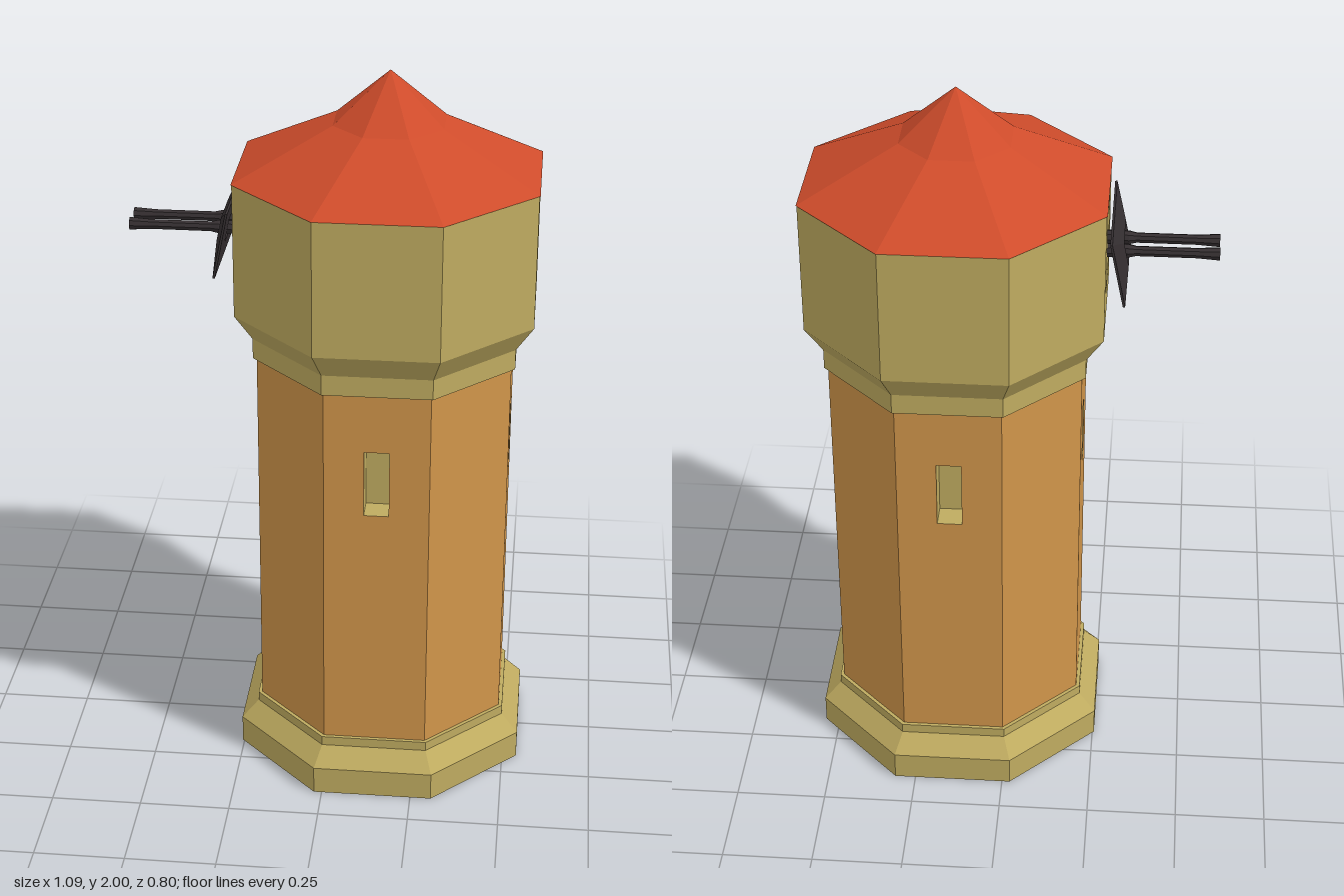
import * as THREE from 'three';

const mat = (color) => new THREE.MeshStandardMaterial({ color, flatShading: true, side: THREE.DoubleSide });
const stone = mat(0xbfab60);
const brick = mat(0xd0954a);
const tile = mat(0xcf4c2b);
const metal = mat(0x352f31);

const SIDES = 8;
const TAN = Math.tan(Math.PI / SIDES);
const COS = Math.cos(Math.PI / SIDES);

function add(parent, name, geometry, material) {
  const mesh = new THREE.Mesh(geometry, material);
  mesh.name = name;
  parent.add(mesh);
  return mesh;
}

// Octagonal ring stack; profile holds [distance to flat side, height], bottom to top
function octagon(profile) {
  const pts = profile.map(([a, y]) => new THREE.Vector2(a / COS, y));
  return new THREE.LatheGeometry(pts, SIDES, Math.PI / SIDES);
}

function rectangle(target, w, y0, y1) {
  target.moveTo(-w / 2, y0);
  target.lineTo(w / 2, y0);
  target.lineTo(w / 2, y1);
  target.lineTo(-w / 2, y1);
  target.closePath();
  return target;
}

// Eight upright wall panels; sides listed in openSides get a recessed opening
function walls(parent, name, apothem, y0, y1, material, openSides, opening) {
  for (let i = 0; i < SIDES; i++) {
    const side = new THREE.Group();
    side.name = name + 'Side';
    side.rotation.y = (i * Math.PI * 2) / SIDES;
    parent.add(side);
    const shape = rectangle(new THREE.Shape(), 2 * apothem * TAN, y0, y1);
    const open = openSides.includes(i);
    if (open) shape.holes.push(rectangle(new THREE.Path(), opening.w, opening.y0, opening.y1));
    add(side, name + 'Panel', new THREE.ShapeGeometry(shape), material).position.z = apothem;
    if (open) {
      // Box without its outer face
      const box = new THREE.BoxGeometry(opening.w, opening.y1 - opening.y0, opening.d);
      const index = Array.from(box.index.array);
      index.splice(24, 6);
      box.setIndex(index);
      box.clearGroups();
      add(side, opening.name, box, stone)
        .position.set(0, (opening.y0 + opening.y1) / 2, apothem - opening.d / 2);
    }
  }
}

// Shield plate, its opening pushed forward so the faces slope to the rim
function shieldGeometry() {
  const shape = new THREE.Shape();
  rectangle(shape, 0.355, -0.092, 0.094);
  shape.holes.push(rectangle(new THREE.Path(), 0.13, -0.034, 0.034));
  const geometry = new THREE.ExtrudeGeometry(shape, { depth: 0.006, bevelEnabled: false });
  const p = geometry.attributes.position;
  for (let i = 0; i < p.count; i++) {
    if (Math.abs(p.getX(i)) < 0.1 && p.getZ(i) > 0.003) p.setZ(i, 0.022);
  }
  geometry.computeVertexNormals();
  return geometry;
}

function createGun() {
  const gun = new THREE.Group();
  gun.name = 'twinGun';
  const shield = add(gun, 'gunShield', shieldGeometry(), metal);
  shield.position.z = 0.284;
  shield.rotation.x = -0.2;

  // Barrels with a thick breech end and a flared muzzle
  const profile = [[0, 0.16], [0.019, 0.16], [0.019, 0.31], [0.014, 0.33],
    [0.014, 0.49], [0.018, 0.55], [0.01, 0.55], [0.008, 0.52], [0, 0.52]]
    .map(([r, y]) => new THREE.Vector2(r, y));
  for (const s of [-1, 1]) {
    const barrel = add(gun, 'gunBarrel', new THREE.LatheGeometry(profile, 8), metal);
    barrel.rotation.x = Math.PI / 2;
    barrel.position.x = s * 0.036;
  }
  gun.position.set(0, 1.56, 0);
  gun.rotation.y = -Math.PI / 2;
  return gun;
}

export function createModel() {
  const model = new THREE.Group();
  model.name = 'watchtower';
  const tower = new THREE.Group();
  tower.name = 'tower';
  tower.position.x = 0.143;
  model.add(tower);

  // Stepped plinth
  add(tower, 'plinth', octagon([[0, 0], [0.398, 0], [0.398, 0.08], [0.352, 0.13],
    [0.352, 0.157], [0.335, 0.157]]), stone);

  // Brick shaft with a window on every second side
  walls(tower, 'shaft', 0.342, 0.15, 1.235, brick, [0, 2, 4, 6],
    { name: 'windowRecess', w: 0.067, y0: 0.87, y1: 1.06, d: 0.07 });

  // Collar flaring out to the gun room
  add(tower, 'collar', octagon([[0.335, 1.228], [0.352, 1.228], [0.352, 1.285], [0.398, 1.357]]), stone);

  // Gun room with one embrasure on the right-hand side
  walls(tower, 'gunRoom', 0.398, 1.357, 1.73, stone, [6],
    { name: 'embrasure', w: 0.14, y0: 1.44, y1: 1.68, d: 0.12 });

  // Roof with a steeper cap
  add(tower, 'roof', octagon([[0, 1.73], [0.4, 1.73], [0.145, 1.863], [0, 2]]), tile);

  model.add(createGun());
  return model;
}
